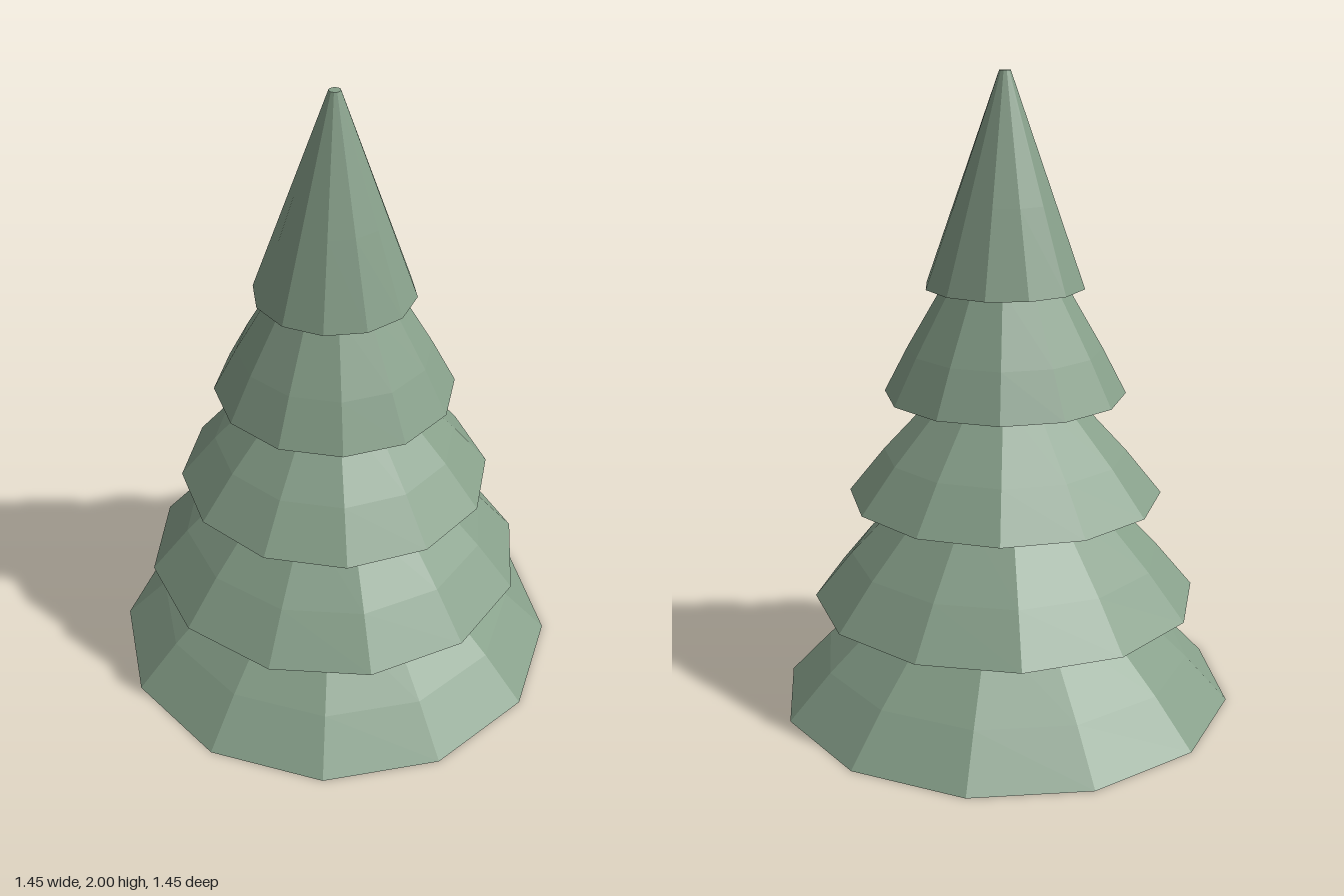
import * as THREE from 'three';

// Each tier: base height, base radius, top height, top radius, turn in degrees, outward bulge
const TIERS = [
  { y: 0.0, r: 0.727, top: 0.36, topR: 0.36, turn: -1.5, bulge: 0.012 },
  { y: 0.34, r: 0.613, top: 0.7, topR: 0.29, turn: 12, bulge: 0.01 },
  { y: 0.68, r: 0.497, top: 1.03, topR: 0.19, turn: 5.8, bulge: 0.01 },
  { y: 1.01, r: 0.379, top: 1.37, topR: 0.18, turn: 5.2, bulge: 0.005 },
  { y: 1.35, r: 0.251, top: 2.0, topR: 0.018, turn: -6.2, bulge: 0 },
];
const SIDES = 12;

export function createModel() {
  const tree = new THREE.Group();
  tree.name = 'pineTree';
  const needles = new THREE.MeshStandardMaterial({ color: 0x87a08a, flatShading: true });

  // Stacked, slightly turned twelve-sided skirts with flat undersides
  TIERS.forEach(({ y, r, top, topR, turn, bulge }, i) => {
    const profile = [
      new THREE.Vector2(0, y),
      new THREE.Vector2(r, y),
      new THREE.Vector2(THREE.MathUtils.lerp(r, topR, 0.4) + bulge, THREE.MathUtils.lerp(y, top, 0.4)),
      new THREE.Vector2(topR, top),
      new THREE.Vector2(0, top),
    ];
    const tier = new THREE.Mesh(new THREE.LatheGeometry(profile, SIDES), needles);
    tier.name = i === TIERS.length - 1 ? 'treeTop' : `branchTier${i + 1}`;
    tier.rotation.y = THREE.MathUtils.degToRad(turn);
    tree.add(tier);
  });
  return tree;
}
